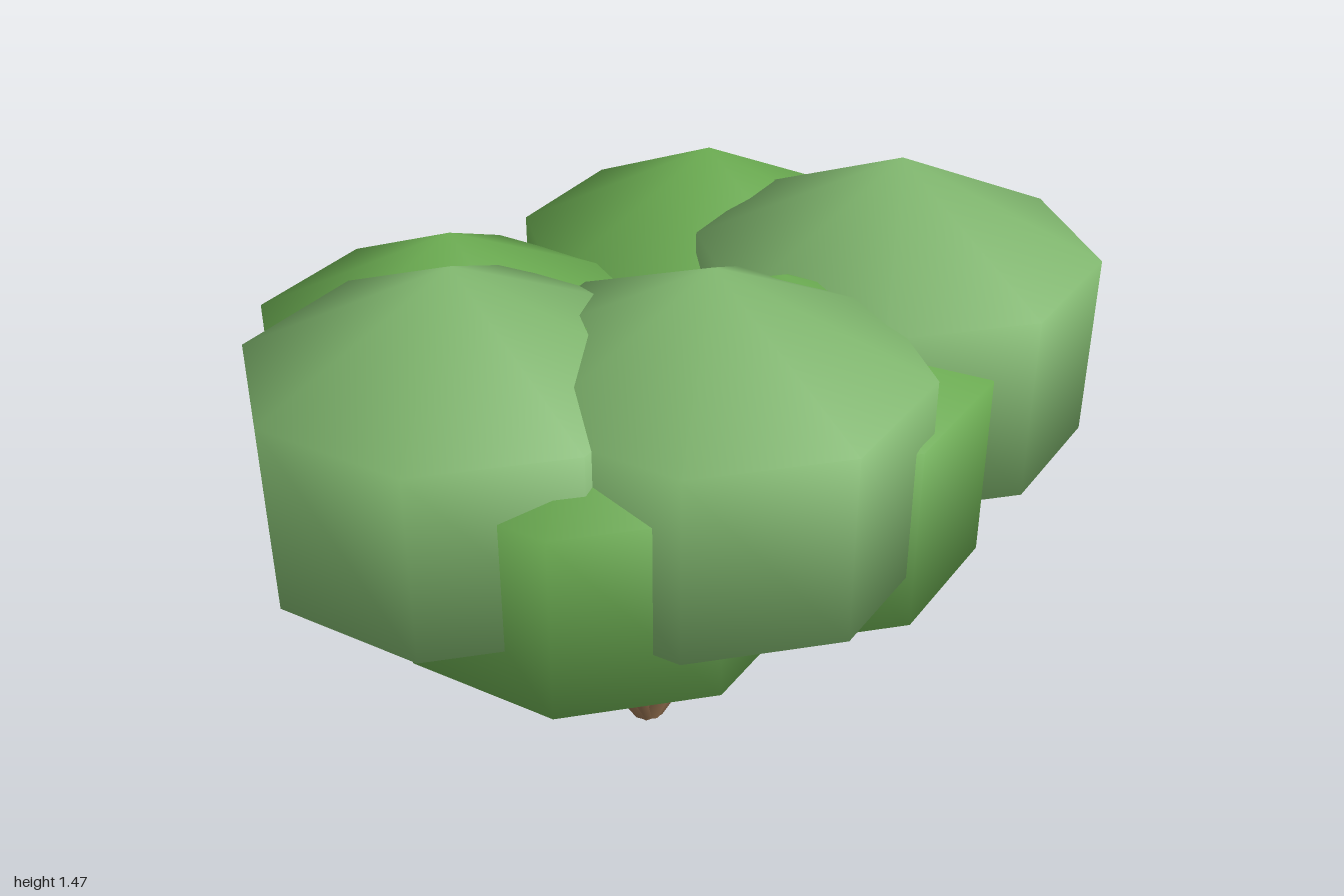
import * as THREE from 'three';

export function createModel() {
  const group = new THREE.Group();
  const lightLeaf = new THREE.MeshStandardMaterial({ color: 0x82b970 });
  const darkLeaf = new THREE.MeshStandardMaterial({ color: 0x6cad52 });
  const bark = new THREE.MeshStandardMaterial({ color: 0x94704f });

  const UP = new THREE.Vector3(0, 1, 0);
  const root = new THREE.Vector3(-0.04, 0.02, 0.17);
  const lowY = 0.85, highY = 0.988;

  // Coarse smooth-shaded ball, a little wider than tall
  const leafGeometry = new THREE.SphereGeometry(1, 8, 3).scale(0.56, 0.466, 0.525);

  // Foliage clumps: x, y, z, material
  const clumps = [
    [0.015, lowY, -0.49, darkLeaf],
    [-0.515, lowY, 0.075, darkLeaf],
    [-0.115, lowY, 0.465, darkLeaf],
    [0.275, lowY, 0.16, darkLeaf],
    [-0.395, highY, 0.49, lightLeaf],
    [0.15, highY, 0.41, lightLeaf],
    [0.51, highY, -0.2, lightLeaf],
  ];

  clumps.forEach(([x, y, z, material], i) => {
    const leaf = new THREE.Mesh(leafGeometry, material);
    leaf.name = `foliage${i + 1}`;
    leaf.position.set(x, y, z);
    group.add(leaf);

    // Tapered branch from the shared root into the clump's underside
    const direction = new THREE.Vector3(x, y - 0.18, z).sub(root);
    const length = direction.length();
    const geometry = new THREE.CylinderGeometry(0.032, 0.044, length, 8);
    geometry.translate(0, length / 2, 0);
    const branch = new THREE.Mesh(geometry, bark);
    branch.name = `branch${i + 1}`;
    branch.position.copy(root);
    branch.quaternion.setFromUnitVectors(UP, direction.normalize());
    group.add(branch);
  });

  return group;
}
